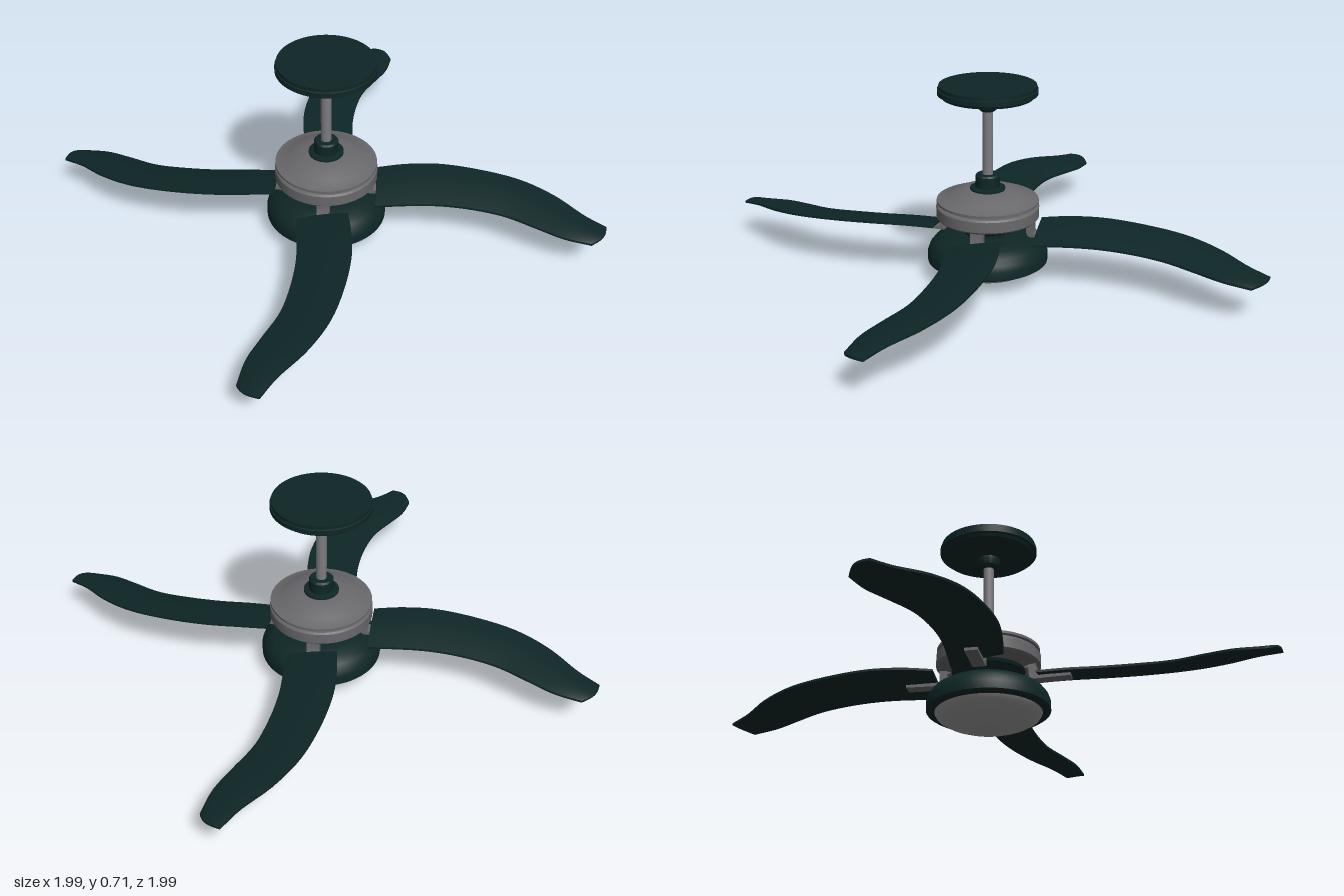
import * as THREE from 'three';
import { toCreasedNormals } from 'three/addons/utils/BufferGeometryUtils.js';

const paint = (name, color) => {
  const m = new THREE.MeshStandardMaterial({ color });
  m.name = name;
  return m;
};

export function createModel() {
  const fan = new THREE.Group();
  fan.name = 'ceilingFan';

  const green = paint('dark green', 0x0e2626);
  const grey = paint('brushed grey', 0x69696b);
  const steel = paint('steel', 0x7c7c80);
  const glass = paint('frosted glass', 0x9c9c9c);

  const add = (parent, name, geometry, material) => {
    const mesh = new THREE.Mesh(geometry, material);
    mesh.name = name;
    parent.add(mesh);
    return mesh;
  };

  // Turned part from [radius, height] pairs, listed from bottom to top
  const turned = (name, profile, material) => {
    const points = profile.map(([r, y]) => new THREE.Vector2(r, y));
    add(fan, name, toCreasedNormals(new THREE.LatheGeometry(points, 64), 0.5), material);
  };

  // Ceiling mount and hanging rod
  turned('canopy', [[0, 0.615], [0.025, 0.615], [0.036, 0.625], [0.042, 0.645], [0.042, 0.653],
    [0.115, 0.658], [0.16, 0.665], [0.165, 0.675], [0.175, 0.677], [0.175, 0.694],
    [0.17, 0.696], [0.17, 0.708], [0, 0.708]], green);
  const rod = add(fan, 'rod', new THREE.CylinderGeometry(0.019, 0.019, 0.31, 24), steel);
  rod.position.y = 0.485;
  turned('rodCollar', [[0, 0.315], [0.062, 0.315], [0.062, 0.335], [0.043, 0.338],
    [0.043, 0.378], [0.038, 0.384], [0, 0.384]], green);

  // Motor housing with a grooved rim
  turned('motorHousing', [[0, 0.212], [0.13, 0.212], [0.15, 0.22], [0.176, 0.223], [0.183, 0.23],
    [0.183, 0.268], [0.178, 0.274], [0.168, 0.275], [0.168, 0.281], [0.181, 0.282], [0.181, 0.291],
    [0.165, 0.294], [0.14, 0.305], [0.11, 0.32], [0.075, 0.328], [0, 0.328]], grey);
  turned('flywheel', [[0, 0.202], [0.125, 0.202], [0.13, 0.213], [0, 0.213]], green);

  // Light kit: neck, bowl and glass
  turned('lightHousing', [[0, 0.06], [0.208, 0.06], [0.215, 0.065], [0.215, 0.095], [0.208, 0.115],
    [0.192, 0.136], [0.165, 0.152], [0.13, 0.163], [0.085, 0.168], [0.085, 0.18],
    [0.105, 0.203], [0, 0.203]], green);
  turned('lightGlass', [[0, 0.003], [0.04, 0.004], [0.08, 0.01], [0.12, 0.02], [0.155, 0.034],
    [0.178, 0.048], [0.186, 0.061]].map(([r, y]) => [r, Math.max(0, y - 0.003)]), glass);

  // Swept blade: a box whose vertices are spread between two edge curves
  const curve = (pts) => new THREE.CatmullRomCurve3(pts.map((p) => new THREE.Vector3(...p)));
  const backEdge = curve([[0.18, 0.198, -0.088], [0.28, 0.205, -0.104], [0.4, 0.206, -0.113],
    [0.55, 0.199, -0.098], [0.7, 0.188, -0.06], [0.82, 0.173, 0.005], [0.92, 0.155, 0.088], [0.993, 0.143, 0.132]]);
  const frontEdge = curve([[0.18, 0.161, 0.092], [0.28, 0.166, 0.083], [0.4, 0.166, 0.075],
    [0.52, 0.162, 0.082], [0.64, 0.154, 0.105], [0.75, 0.146, 0.154], [0.84, 0.138, 0.193], [0.935, 0.129, 0.21]]);
  const bladeGeometry = new THREE.BoxGeometry(1, 1, 1, 32, 1, 8);
  const pos = bladeGeometry.attributes.position;
  for (let i = 0; i < pos.count; i++) {
    const u = pos.getX(i) + 0.5;
    const v = pos.getZ(i) + 0.5;
    const p = backEdge.getPoint(u).lerp(frontEdge.getPoint(u), v);
    const bulge = Math.sin(Math.PI * v);
    const tip = 0.016 * bulge * u ** 10;
    pos.setXYZ(i, p.x + tip * 0.78, p.y + 0.006 * bulge + pos.getY(i) * 0.008, p.z + tip * 0.62);
  }
  bladeGeometry.computeVertexNormals();

  // Bent blade iron, extruded across its width
  const iron = new THREE.Shape();
  iron.moveTo(0.12, 0.222);
  iron.lineTo(0.17, 0.222);
  iron.lineTo(0.17, 0.184);
  iron.quadraticCurveTo(0.17, 0.178, 0.178, 0.178);
  iron.lineTo(0.29, 0.178);
  iron.lineTo(0.29, 0.168);
  iron.lineTo(0.165, 0.165);
  iron.quadraticCurveTo(0.145, 0.165, 0.145, 0.184);
  iron.lineTo(0.143, 0.207);
  iron.lineTo(0.12, 0.212);
  const ironGeometry = toCreasedNormals(new THREE.ExtrudeGeometry(iron,
    { depth: 0.045, bevelEnabled: false, curveSegments: 8 }).translate(0, 0, -0.0225), 0.6);

  // Four arms around the motor
  for (let i = 0; i < 4; i++) {
    const arm = new THREE.Group();
    arm.name = 'bladeArm';
    add(arm, 'blade', bladeGeometry, green);
    add(arm, 'bladeIron', ironGeometry, grey);
    arm.rotation.y = (i * Math.PI) / 2;
    fan.add(arm);
  }
  return fan;
}
